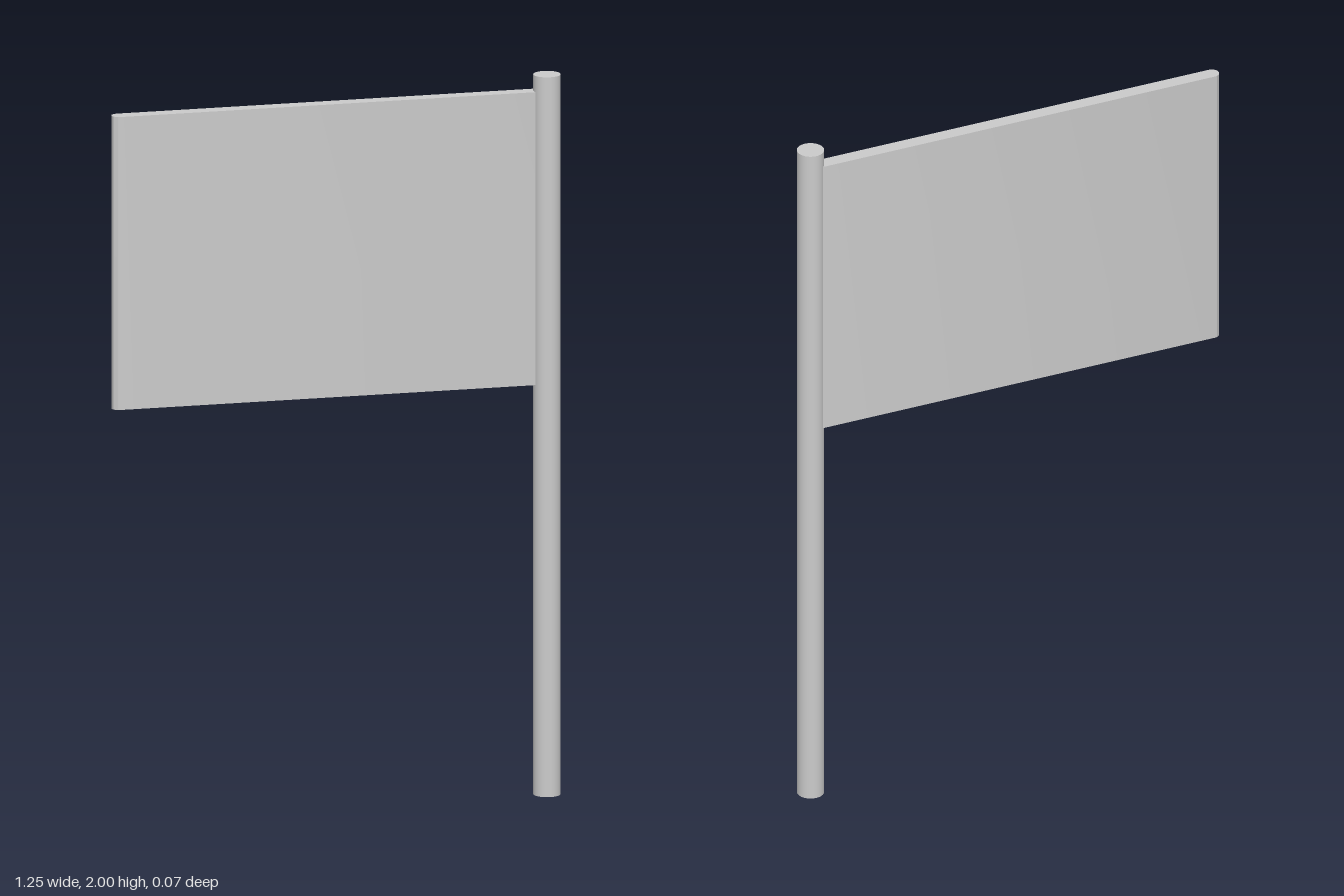
import * as THREE from 'three';
import { toCreasedNormals } from 'three/addons/utils/BufferGeometryUtils.js';

const material = new THREE.MeshStandardMaterial({ color: 0xcccccc });

// Upright panel: a slot-shaped plan with rounded ends, extruded upwards
function panelGeometry(x0, x1, thickness, height) {
  const r = thickness / 2;
  const plan = new THREE.Shape();
  plan.absarc(x1 - r, 0, r, -Math.PI / 2, Math.PI / 2, false);
  plan.absarc(x0 + r, 0, r, Math.PI / 2, Math.PI * 1.5, false);
  plan.closePath();
  const geometry = new THREE.ExtrudeGeometry(plan, { depth: height, bevelEnabled: false, curveSegments: 16 });
  geometry.rotateX(-Math.PI / 2);
  return toCreasedNormals(geometry, Math.PI / 5);
}

export function createModel() {
  const model = new THREE.Group();
  model.name = 'flag';

  // Round pole, full height
  const pole = new THREE.Mesh(new THREE.CylinderGeometry(0.037, 0.037, 2, 48), material);
  pole.name = 'pole';
  pole.position.set(0.585, 1, 0);
  model.add(pole);

  // Flag panel, set slightly behind the pole's axis and ending inside it
  const panel = new THREE.Mesh(panelGeometry(-0.623, 0.585, 0.04, 0.814), material);
  panel.name = 'flagPanel';
  panel.position.set(0, 1.141, -0.007);
  model.add(panel);

  return model;
}
